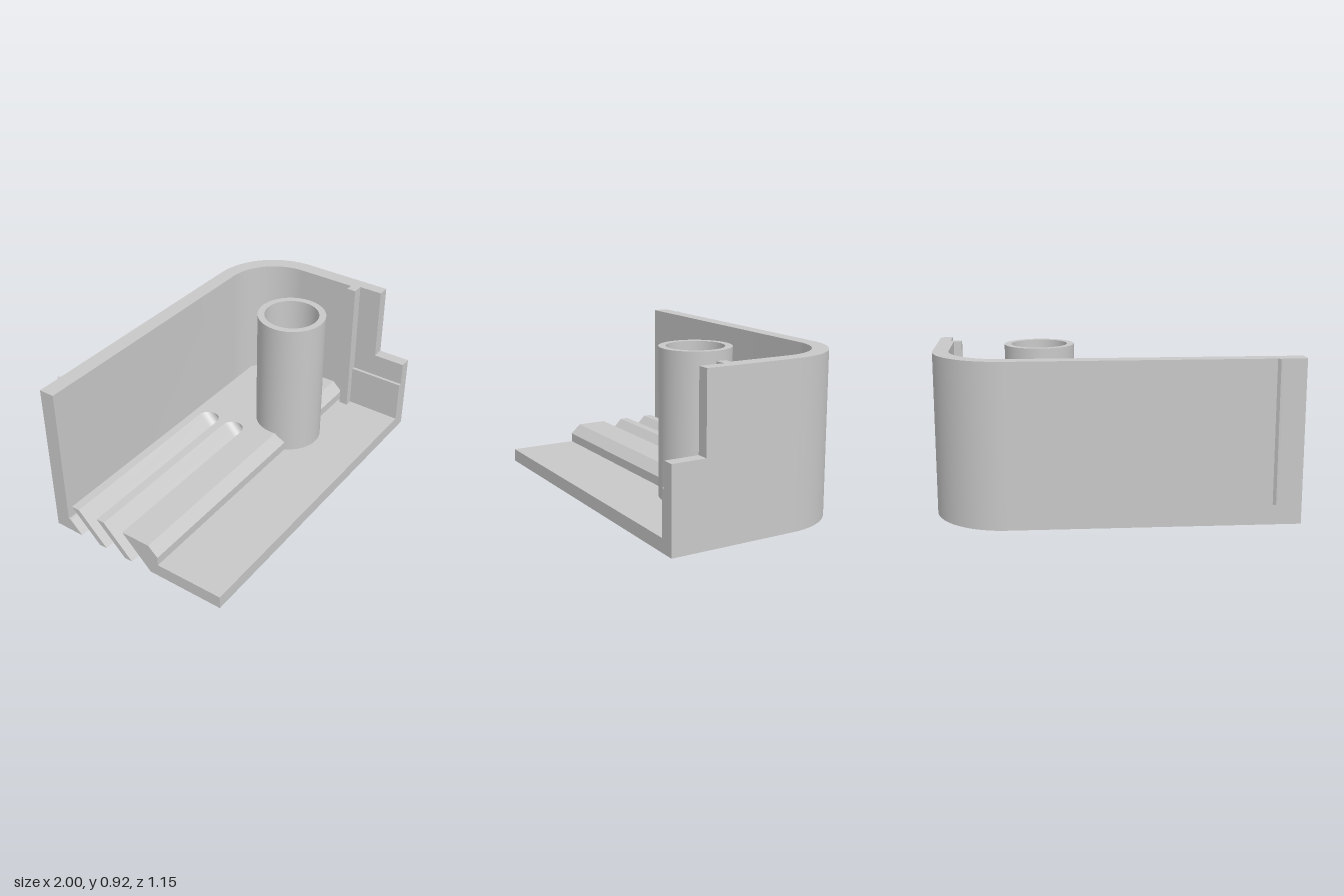
import * as THREE from 'three';
import { toCreasedNormals } from 'three/addons/utils/BufferGeometryUtils.js';

const PI = Math.PI;
const TOP = 0.915, FLOOR = 0.077, BLOCK = 0.185;
const FRONT = 0.577, BACK = -0.562, INNER_BACK = -0.472;
const CORNER = [0.6, -0.162];          // centre of the rounded corner
const POST = [0.41, 0.08];             // centre of the screw post
const SLOT_R = 0.066, SLOT_END = 0.106;
const SLOTS = [-0.5, -0.3175, -0.135]; // slot centres on the raised top, back to front

// Points [x, z] along an arc
function arc([cx, cz], r, t0, t1, n = 24) {
  return Array.from({ length: n + 1 }, (_, i) => {
    const t = t0 + (t1 - t0) * i / n;
    return [cx + r * Math.cos(t), cz + r * Math.sin(t)];
  });
}

const circle = (c, r) => arc(c, r, 0, -2 * PI, 64).slice(0, -1);
const hole = (c, r) => circle(c, r).reverse();

// Solid lofted through plan outlines at rising heights.
// Outlines run counter-clockwise from above, holes clockwise.
function slab(heights, outlineAt, holes = []) {
  const pos = [];
  const put = (p, y) => pos.push(p[0], y, p[1]);
  const rings = heights.map(outlineAt);
  const flat = (ring) => ring.map(([x, z]) => new THREE.Vector2(x, -z));
  const cap = (ring, y, up) => {
    const all = [ring, ...holes].flat();
    for (const [a, b, c] of THREE.ShapeUtils.triangulateShape(flat(ring), holes.map(flat))) {
      for (const i of up ? [a, b, c] : [a, c, b]) put(all[i], y);
    }
  };
  const side = (lo, hi, y0, y1) => lo.forEach((a0, i) => {
    const j = (i + 1) % lo.length;
    put(a0, y0); put(lo[j], y0); put(hi[j], y1);
    put(a0, y0); put(hi[j], y1); put(hi[i], y1);
  });
  const last = heights.length - 1;
  cap(rings[0], heights[0], false);
  cap(rings[last], heights[last], true);
  for (let k = 0; k < last; k++) {
    side(rings[k], rings[k + 1], heights[k], heights[k + 1]);
    for (const h of holes) side(h, h, heights[k], heights[k + 1]);
  }
  const g = new THREE.BufferGeometry();
  g.setAttribute('position', new THREE.Float32BufferAttribute(pos, 3));
  return toCreasedNormals(g, 0.5);
}

// Slanted vent slots, open at the left end
const slotZ = (i, y) => SLOTS[i] + BLOCK - y;
function slot(i, y) {
  const z = slotZ(i, y);
  return [[-1, z - SLOT_R], ...arc([SLOT_END, z], SLOT_R, -PI / 2, PI / 2, 16), [-1, z + SLOT_R]];
}

// Base plate with three slots
const floorOutline = (y) => [
  [-1, FRONT], [0.91, FRONT],
  ...arc(CORNER, 0.31, 0, -PI / 2),
  [-1, INNER_BACK],
  ...slot(0, y), ...slot(1, y), ...slot(2, y),
];

// Raised louvre block: sloped front edge, notched round the post
function blockOutline(y) {
  const front = y > 0.14 ? 0.11 : 0.17;
  const r = 0.18, a = Math.asin((front - POST[1]) / r);
  const back = slotZ(0, y) + SLOT_R;
  return [
    [-1, front],
    ...arc(POST, r, PI - a, 2 * PI + a, 32),
    [0.91, front],
    ...arc(CORNER, 0.31, 0, -Math.asin(0.273 / 0.31), 16),
    [0.18, -0.435],
    [0.17, Math.max(back - SLOT_R, -0.435)], [SLOT_END, back], [-1, back],
    ...slot(1, y), ...slot(2, y),
  ];
}

// Back wall, rounded corner, side wall and its inner rib
const wallOutline = () => [
  [1, 0.382],
  ...arc(CORNER, 0.4, 0, -PI / 2, 32),
  [-1, BACK], [-1, INNER_BACK],
  ...arc(CORNER, 0.31, -PI / 2, 0, 32),
  [0.91, 0.188], [0.865, 0.188], [0.865, 0.242], [0.93, 0.242], [0.93, 0.382],
];

export function createModel() {
  const grey = new THREE.MeshStandardMaterial({ color: 0xc8c8c8 });
  grey.name = 'grey plastic';
  const model = new THREE.Group();
  model.name = 'housingCorner';
  const add = (name, geometry) => {
    const mesh = new THREE.Mesh(geometry, grey);
    mesh.name = name;
    model.add(mesh);
    return mesh;
  };
  const box = (name, x0, x1, y1, z0, z1) =>
    add(name, new THREE.BoxGeometry(x1 - x0, y1, z1 - z0))
      .position.set((x0 + x1) / 2, y1 / 2, (z0 + z1) / 2);

  add('floor', slab([0, FLOOR], floorOutline, [hole(POST, 0.16)]));
  add('louvreBlock', slab([FLOOR, 0.13, BLOCK], blockOutline));
  add('wall', slab([0, TOP], wallOutline));

  // Stepped front end of the side wall
  box('sideWallFront', 0.93, 1, 0.474, 0.382, FRONT);
  box('sideWallLedge', 0.91, 0.93, 0.333, 0.242, FRONT);

  // Hollow screw post
  add('screwPost', slab([FLOOR, TOP], () => circle(POST, 0.2), [hole(POST, 0.16)]));

  // Thin ridge on the outside of the back wall
  add('backRidge', slab([0.113, TOP], () => [[-0.87, BACK], [-0.84, BACK], [-0.855, BACK - 0.015]]));

  return model;
}
